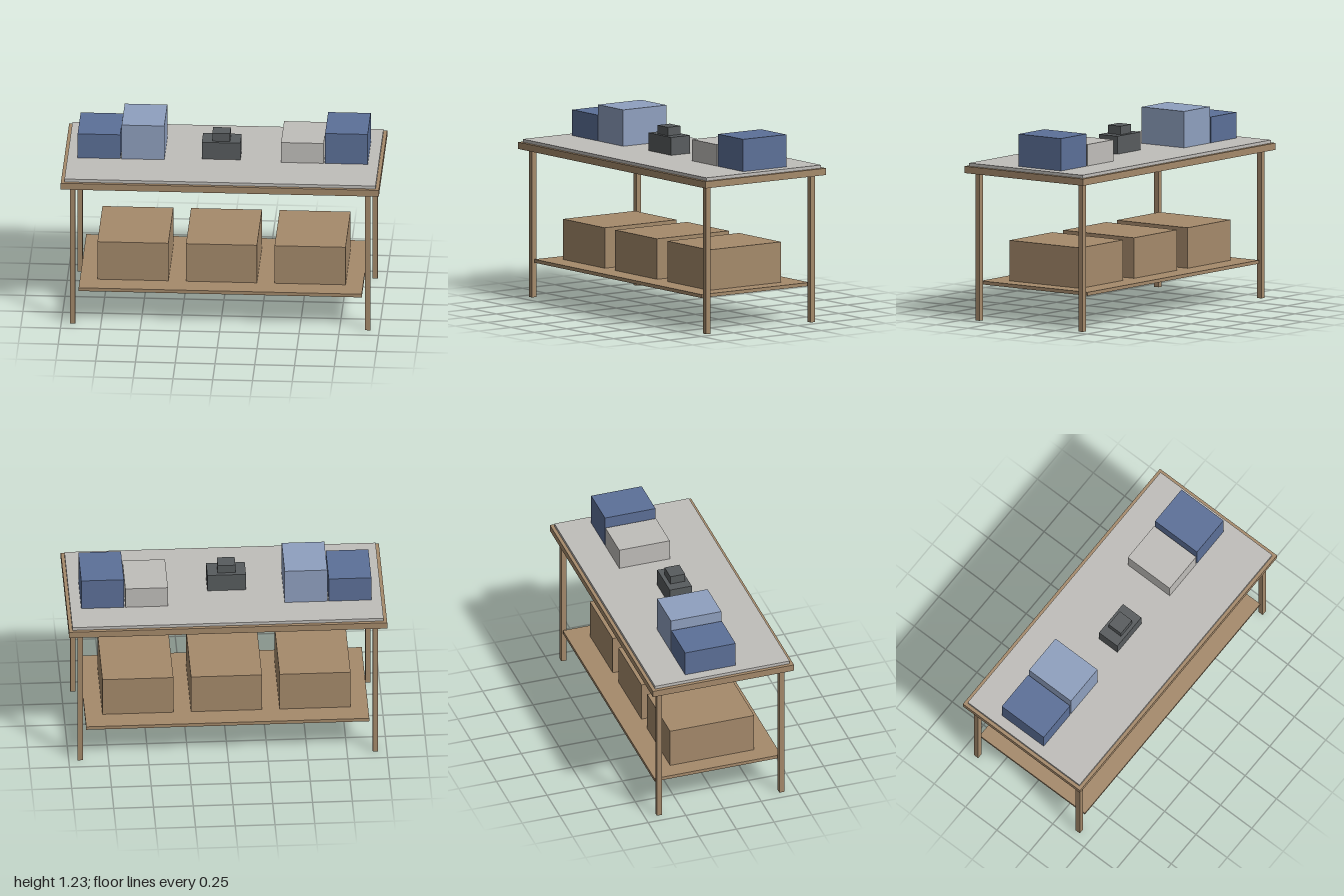
import * as THREE from 'three';

const makeMaterial = (name, color) => {
  const material = new THREE.MeshStandardMaterial({ color });
  material.name = name;
  return material;
};

export function createModel() {
  const wood = makeMaterial('wood', 0xa58a6b);
  const paleGrey = makeMaterial('pale grey', 0xc0beba);
  const darkBlue = makeMaterial('dark blue', 0x5c7098);
  const lightBlue = makeMaterial('light blue', 0x8fa0bf);
  const charcoal = makeMaterial('charcoal', 0x585c5e);

  const model = new THREE.Group();
  model.name = 'workTable';

  // Box given by its extents on each axis
  const addBox = (name, material, [x0, x1], [y0, y1], [z0, z1]) => {
    const mesh = new THREE.Mesh(new THREE.BoxGeometry(x1 - x0, y1 - y0, z1 - z0), material);
    mesh.position.set((x0 + x1) / 2, (y0 + y1) / 2, (z0 + z1) / 2);
    mesh.name = name;
    model.add(mesh);
  };

  // Table top with its thin grey surface
  addBox('tableTop', wood, [-1, 1], [0.937, 0.98], [-0.468, 0.468]);
  addBox('topSurface', paleGrey, [-0.978, 0.978], [0.98, 1], [-0.446, 0.446]);

  // Four legs
  for (const x of [-0.928, 0.928]) {
    for (const z of [-0.406, 0.406]) {
      addBox('leg', wood, [x - 0.0165, x + 0.0165], [0, 0.937], [z - 0.0165, z + 0.0165]);
    }
  }

  // Lower shelf carrying three crates
  addBox('shelf', wood, [-0.89, 0.89], [0.223, 0.245], [-0.42, 0.42]);
  for (const x of [-0.557, 0, 0.557]) {
    addBox('crate', wood, [x - 0.223, x + 0.223], [0.245, 0.502], [-0.279, 0.279]);
  }

  // Bins on the table top
  const binDepth = [-0.225, 0.11];
  addBox('lowBlueBin', darkBlue, [-0.914, -0.646], [1, 1.164], binDepth);
  addBox('lightBlueBin', lightBlue, [-0.637, -0.369], [1, 1.231], binDepth);
  addBox('greyBin', paleGrey, [0.365, 0.633], [1, 1.136], binDepth);
  addBox('tallBlueBin', darkBlue, [0.642, 0.91], [1, 1.205], binDepth);

  // Stepped device in the middle
  addBox('deviceBase', charcoal, [-0.135, 0.108], [1, 1.114], [-0.061, 0.085]);
  addBox('deviceHead', charcoal, [-0.07, 0.042], [1.114, 1.168], [-0.035, 0.063]);

  return model;
}
